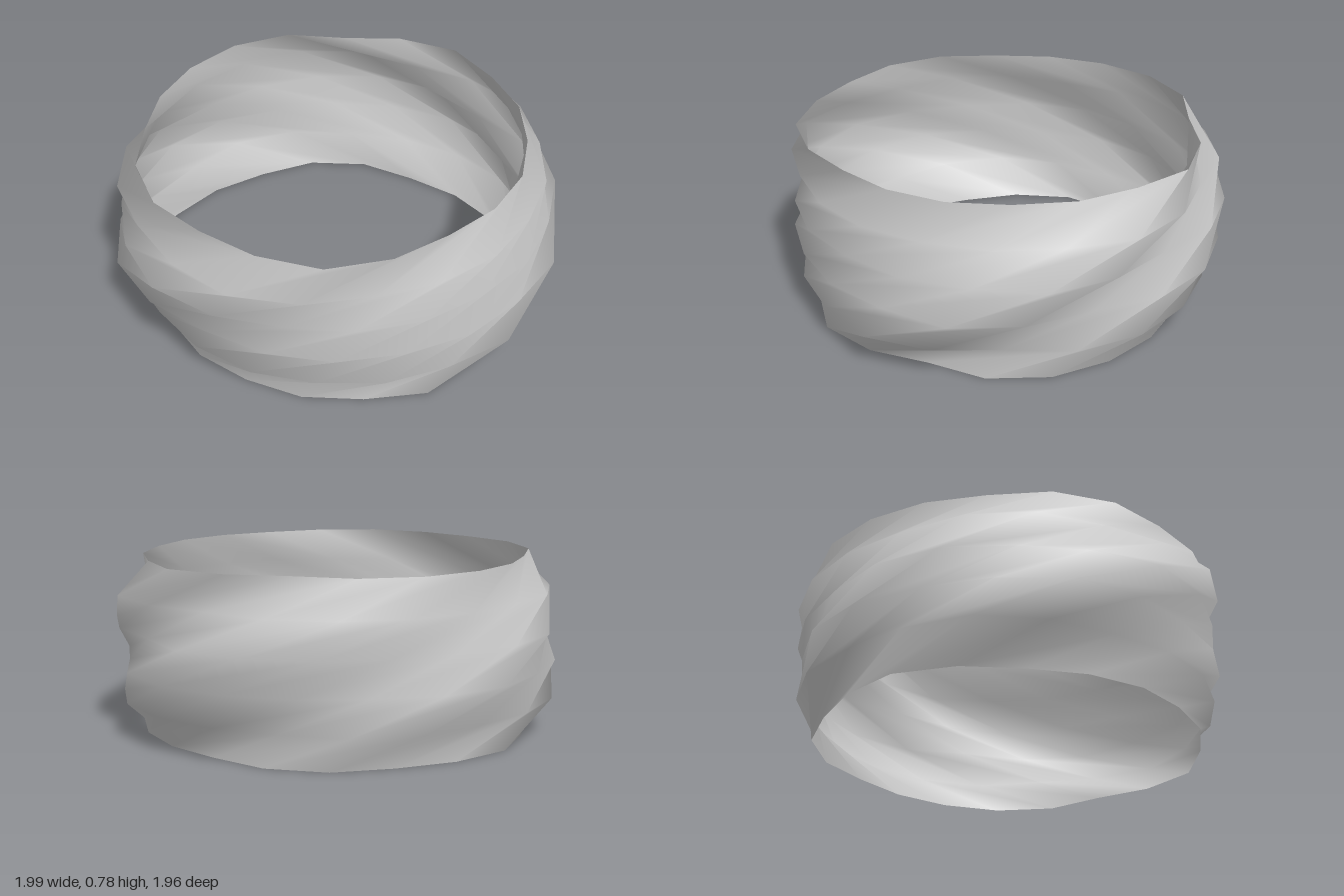
import * as THREE from 'three';

// Radius offsets around the band (one per column) and mean radius per row
const RIPPLE = [-0.01, 0.01, 0.03, 0.02, -0.04, 0.01, 0.045, 0, -0.01, -0.03,
  -0.025, -0.03, -0.035, 0.01, 0.045, 0.02, 0, 0.025, 0.015, -0.025];
const ROW_RADIUS = [0.855, 0.94, 0.97, 0.965, 0.945, 0.87];
const HEIGHT = 0.78;
const TWIST = THREE.MathUtils.degToRad(23); // turn from one row to the next

// Thin open ring whose ripples wind around it as they rise
function twistedBand() {
  const columns = RIPPLE.length;
  const rows = ROW_RADIUS.length - 1;
  const positions = [];
  const indices = [];
  for (let j = 0; j <= rows; j++) {
    for (let i = 0; i < columns; i++) {
      const angle = (i / columns) * Math.PI * 2 - j * TWIST;
      const radius = ROW_RADIUS[j] + RIPPLE[i];
      positions.push(radius * Math.cos(angle), (HEIGHT * j) / rows, radius * Math.sin(angle));
    }
  }
  for (let j = 0; j < rows; j++) {
    for (let i = 0; i < columns; i++) {
      const next = (i + 1) % columns;
      const a = j * columns + i;
      const b = j * columns + next;
      const c = a + columns;
      const d = b + columns;
      indices.push(a, c, b, b, c, d);
    }
  }
  const geometry = new THREE.BufferGeometry();
  geometry.setAttribute('position', new THREE.Float32BufferAttribute(positions, 3));
  geometry.setIndex(indices);
  geometry.computeVertexNormals();
  return geometry;
}

export function createModel() {
  const group = new THREE.Group();
  group.name = 'bracelet';
  const material = new THREE.MeshStandardMaterial({ color: 0xcccccc, side: THREE.DoubleSide });
  const band = new THREE.Mesh(twistedBand(), material);
  band.name = 'twistedBand';

  // Centre the uneven ring on x and z
  band.geometry.computeBoundingBox();
  const centre = band.geometry.boundingBox.getCenter(new THREE.Vector3());
  band.geometry.translate(-centre.x, 0, -centre.z);
  group.add(band);
  return group;
}
